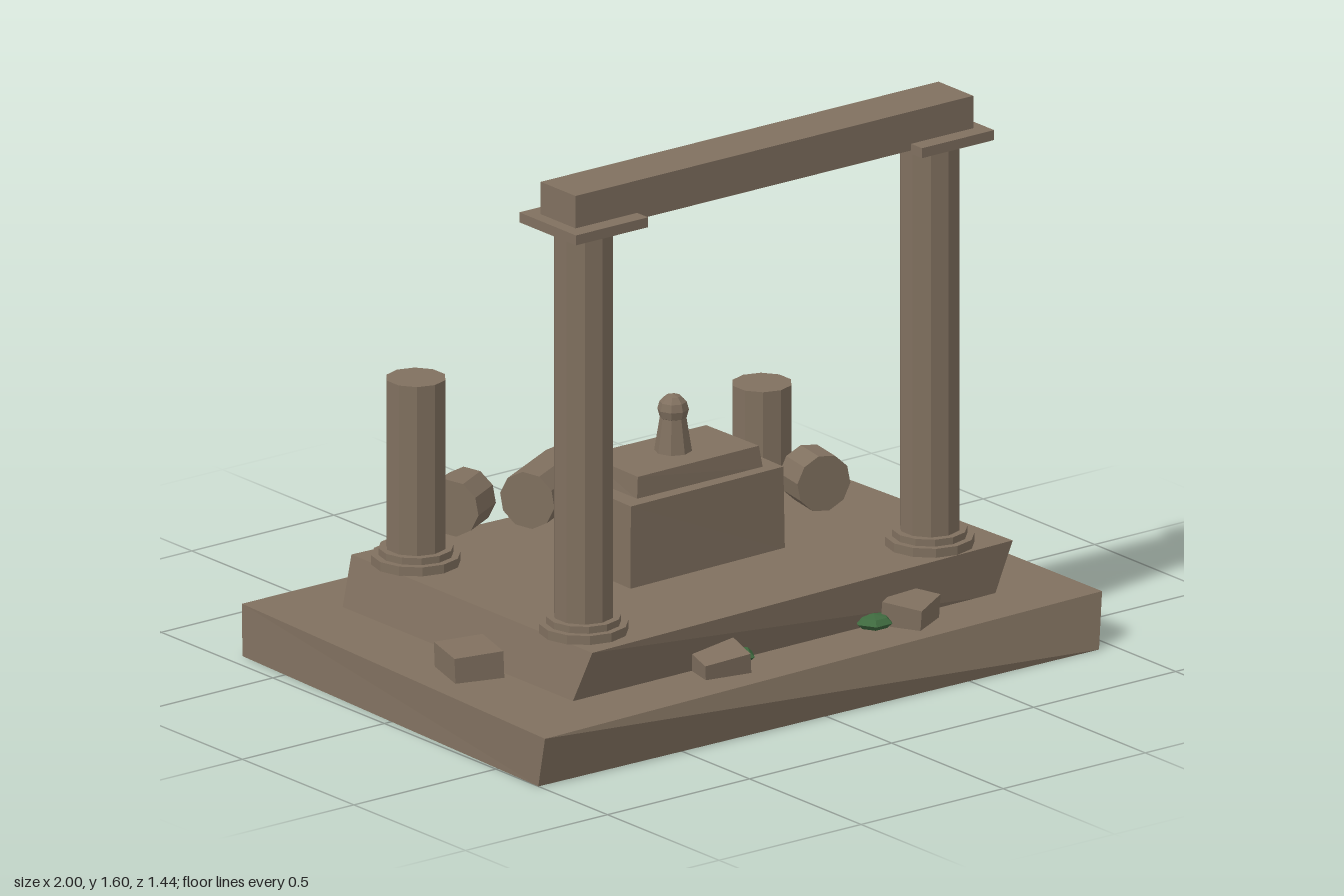
import * as THREE from 'three';

export function createModel() {
  const root = new THREE.Group();
  const stone = new THREE.MeshStandardMaterial({ color: 0x80705f, flatShading: true });
  stone.name = 'weathered stone';
  const leaf = new THREE.MeshStandardMaterial({ color: 0x3f6a3f, flatShading: true });
  leaf.name = 'moss green';

  const add = (name, geo, x = 0, y = 0, z = 0, mat = stone, parent = root) => {
    const m = new THREE.Mesh(geo, mat);
    m.name = name;
    m.position.set(x, y, z);
    parent.add(m);
    return m;
  };

  // Uneven block: [x, z] corners in the order back left, back right, front right, front left (seen from above)
  const block = (bottom, top, y0, y1) => {
    const v = [...bottom.map(([x, z]) => [x, y0, z]), ...top.map(([x, z]) => [x, y1, z])];
    const quads = [[4, 7, 6, 5], [0, 1, 2, 3]];
    for (let i = 0; i < 4; i++) {
      const j = (i + 1) % 4;
      quads.push([i, i + 4, j + 4, j]);
    }
    const pos = quads.flatMap(([a, b, c, d]) => [a, b, c, a, c, d].flatMap((i) => v[i]));
    const g = new THREE.BufferGeometry();
    g.setAttribute('position', new THREE.Float32BufferAttribute(pos, 3));
    g.computeVertexNormals();
    return g;
  };

  // Stepped platform
  add('lowerStep', block(
    [[-0.95, -0.7], [0.985, -0.705], [0.95, 0.72], [-1, 0.69]],
    [[-0.94, -0.715], [0.985, -0.71], [1, 0.67], [-1, 0.72]], 0, 0.147));
  add('upperStep', block(
    [[-0.74, -0.52], [0.81, -0.525], [0.755, 0.5], [-0.74, 0.51]],
    [[-0.7, -0.53], [0.77, -0.48], [0.815, 0.505], [-0.7, 0.55]], 0.14, 0.29));

  // Columns: whole at the front, broken at the back
  const column = (name, x, z, top, whole) => {
    const g = new THREE.Group();
    g.name = name;
    g.position.set(x, 0, z);
    root.add(g);
    add('lowerRing', new THREE.CylinderGeometry(0.125, 0.125, 0.027, 12), 0, 0.3025, 0, stone, g);
    add('upperRing', new THREE.CylinderGeometry(0.105, 0.105, 0.024, 12), 0, 0.324, 0, stone, g);
    add('shaft', new THREE.CylinderGeometry(0.085, 0.085, top - 0.29, 10), 0, (top + 0.29) / 2, 0, stone, g);
    if (whole) {
      add('neckRing', new THREE.CylinderGeometry(0.108, 0.1, 0.014, 12), 0, 1.473, 0, stone, g);
      add('capital', new THREE.BoxGeometry(0.254, 0.029, 0.254), 0, 1.491, 0, stone, g);
    }
  };
  column('frontRightColumn', -0.6, 0.384, 1.48, true);
  column('frontLeftColumn', 0.618, 0.384, 1.48, true);
  column('backRightColumn', -0.6, -0.368, 0.83, false);
  column('backLeftColumn', 0.618, -0.368, 0.56, false);
  add('lintel', new THREE.BoxGeometry(1.4, 0.114, 0.156), 0.01, 1.543, 0.384);

  // Altar with slab and finial
  add('altar', block(
    [[-0.265, -0.16], [0.28, -0.165], [0.28, 0.165], [-0.275, 0.18]],
    [[-0.26, -0.155], [0.285, -0.165], [0.275, 0.165], [-0.27, 0.175]], 0.285, 0.528));
  add('altarSlab', block(
    [[-0.215, -0.11], [0.225, -0.11], [0.23, 0.13], [-0.215, 0.133]],
    [[-0.205, -0.11], [0.215, -0.105], [0.22, 0.125], [-0.21, 0.13]], 0.525, 0.59));
  add('finialStem', new THREE.CylinderGeometry(0.034, 0.053, 0.12, 8), 0.01, 0.648, 0.008);
  add('finialKnob', new THREE.SphereGeometry(0.044, 8, 6), 0.01, 0.711, 0.008);

  // Fallen column drums, lying along a direction [dx, dz]
  const drum = (name, x, z, length, dx, dz) => {
    const m = add(name, new THREE.CylinderGeometry(0.083, 0.083, length, 10), x, 0.371, z);
    m.quaternion.setFromUnitVectors(new THREE.Vector3(0, 1, 0), new THREE.Vector3(dx, 0, dz).normalize());
  };
  drum('longDrum', -0.06, -0.47, 0.265, 0.88, -0.47);
  drum('shortDrum', -0.33, -0.515, 0.122, 0.88, -0.48);
  drum('sideDrum', 0.57, -0.07, 0.11, -0.19, 0.98);

  // Rubble: x, y, z, width, height, depth, turn, tilt x, tilt z
  [
    [-0.81, 0.18, 0.138, 0.145, 0.085, 0.16, -0.3, 0, 0.04],
    [-0.26, 0.172, 0.56, 0.14, 0.07, 0.11, -0.2, 0.15, 0.12],
    [0.42, 0.178, 0.55, 0.13, 0.08, 0.12, 0.5, 0.1, 0.08],
    [0.76, 0.176, 0.05, 0.11, 0.075, 0.14, 0.08, 0.08, 0.05],
    [-0.2, 0.168, -0.63, 0.135, 0.065, 0.17, 0.03, 0.3, 0],
    [-0.575, 0.177, -0.53, 0.14, 0.08, 0.09, 0.1, 0.1, -0.05],
  ].forEach(([x, y, z, w, h, d, turn, tx, tz], i) => {
    add('rubble' + (i + 1), new THREE.BoxGeometry(w, h, d), x, y, z).rotation.set(tx, turn, tz, 'YXZ');
  });

  // Small six-sided clumps of growth: x, z, radius
  [
    [0.035, -0.645, 0.068], [0.85, 0.14, 0.061], [0.845, 0.24, 0.062],
    [0.31, 0.525, 0.056], [-0.168, 0.52, 0.054],
  ].forEach(([x, z, r], i) => {
    add('mossClump' + (i + 1), new THREE.SphereGeometry(r, 6, 4), x, 0.165, z, leaf).scale.y = 0.38;
  });

  return root;
}
